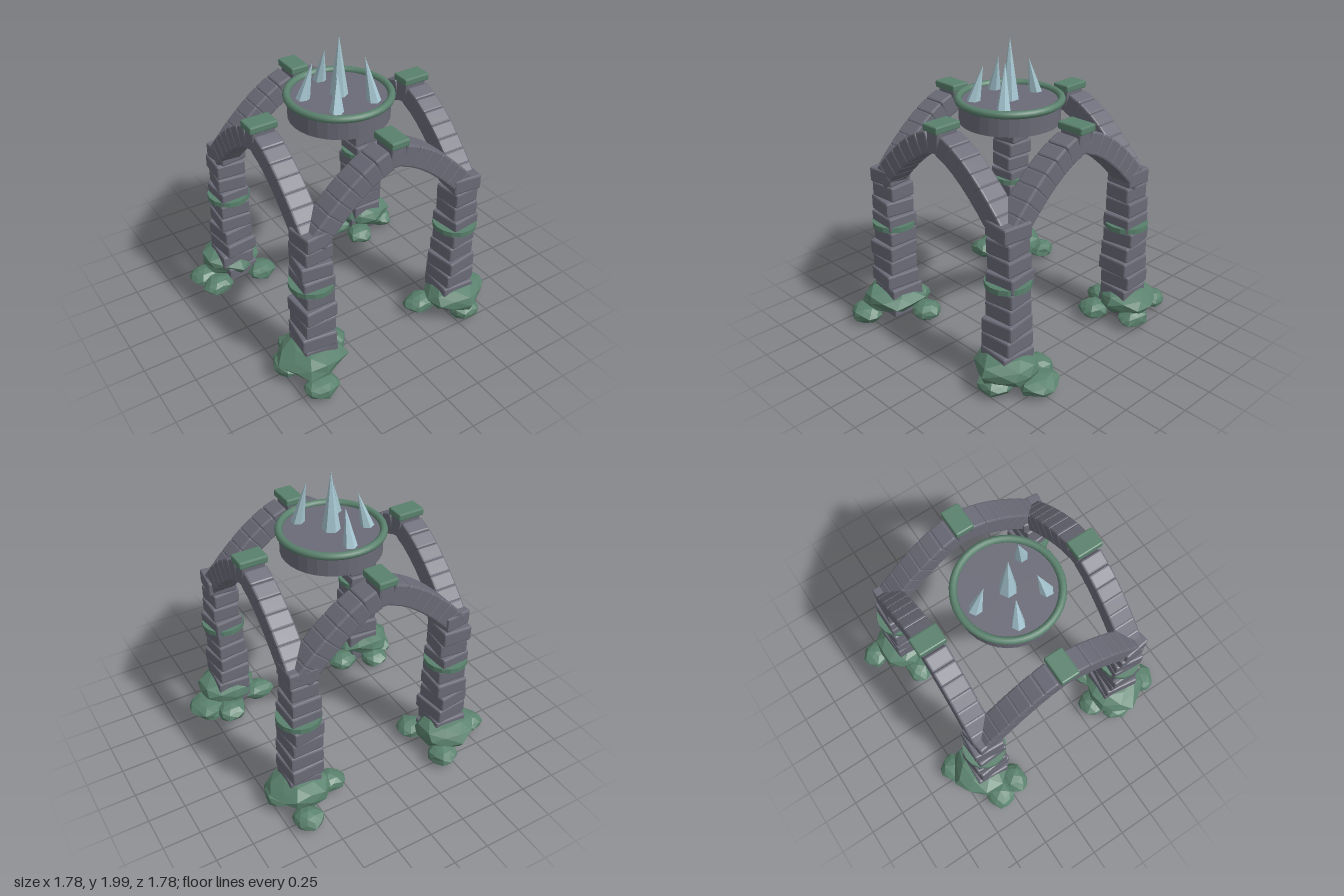
import * as THREE from 'three';
import { RoundedBoxGeometry } from 'three/addons/geometries/RoundedBoxGeometry.js';

const mat = (name, color) => {
  const m = new THREE.MeshStandardMaterial({ color });
  m.name = name;
  return m;
};

// Small seeded random in -1..1
function seeded(seed) {
  let s = seed;
  return () => {
    s = (s * 16807) % 2147483647;
    return (s / 2147483647) * 2 - 1;
  };
}

// Faceted normals
function flat(geometry) {
  const g = geometry.index ? geometry.toNonIndexed() : geometry;
  g.computeVertexNormals();
  return g;
}

const block = (w, h, d, bevel = 0.012) => flat(new RoundedBoxGeometry(w, h, d, 1, bevel));

// Lumpy boulder: sphere corners pushed in and out by a rule of their direction
function boulder(rx, ry, rz, seed) {
  const g = new THREE.IcosahedronGeometry(1, 1);
  const p = g.attributes.position;
  const v = new THREE.Vector3();
  for (let i = 0; i < p.count; i++) {
    v.fromBufferAttribute(p, i);
    const k = 1 + 0.11 * Math.sin(v.x * 5.1 + seed * 1.7) * Math.cos(v.z * 4.3 + seed * 2.9)
      + 0.06 * Math.sin(v.y * 6 + v.x * 3 + seed);
    p.setXYZ(i, v.x * k * rx, v.y * ry * (0.6 + 0.4 * k), v.z * k * rz);
  }
  return flat(g);
}

export function createModel() {
  const model = new THREE.Group();
  const stone = mat('grey stone', 0x6b6b78);
  const moss = mat('moss green', 0x5a816d);
  const crystal = mat('pale blue crystal', 0xa8c8d3);
  const add = (parent, name, geometry, material, x = 0, y = 0, z = 0) => {
    const mesh = new THREE.Mesh(geometry, material);
    mesh.name = name;
    mesh.position.set(x, y, z);
    parent.add(mesh);
    return mesh;
  };

  // Four pointed arches, one on each side of the square
  const curve = new THREE.QuadraticBezierCurve(
    new THREE.Vector2(-0.53, 1.09), new THREE.Vector2(-0.22, 1.44), new THREE.Vector2(0, 1.472));
  const archStone = block(0.104, 0.145, 0.16);
  const capGeo = block(0.13, 0.05, 0.192, 0.01);
  for (let side = 0; side < 4; side++) {
    const arch = new THREE.Group();
    arch.name = 'arch';
    arch.rotation.y = side * Math.PI / 2;
    model.add(arch);
    for (let i = 0; i < 7; i++) {
      const p = curve.getPointAt(i / 7);
      const t = curve.getTangentAt(i / 7);
      const angle = Math.atan2(t.y, t.x);
      for (const s of [1, -1]) {
        add(arch, 'archStone', archStone, stone, p.x * s, p.y, 0.565).rotation.z = angle * s;
      }
    }
    add(arch, 'keystone', archStone, stone, 0, 1.475, 0.565);
    add(arch, 'keystoneCap', capGeo, moss, 0, 1.565, 0.568);
  }

  // Pillars of uneven stacked blocks with a band
  const rand = seeded(4711);
  for (const sx of [-1, 1]) {
    for (const sz of [-1, 1]) {
      const pillar = new THREE.Group();
      pillar.name = 'pillar';
      pillar.position.set(sx * 0.555, 0, sz * 0.555);
      model.add(pillar);
      const count = 10;
      for (let i = 0; i < count; i++) {
        const w = 0.238 - 0.005 * i + rand() * 0.012;
        const b = add(pillar, 'pillarStone', block(w, 0.104, w * (1 + rand() * 0.05)), stone,
          rand() * 0.009, 0.11 + i * 0.108, rand() * 0.009);
        b.rotation.y = rand() * 0.16;
      }
      add(pillar, 'pillarBand', flat(new THREE.CylinderGeometry(0.146, 0.146, 0.036, 16)), moss, 0, 0.725, 0);
    }
  }

  // Mossy boulders round each foot: x, z, radius x, radius z; the first is the large one
  const feet = [
    [[-0.56, -0.61, 0.22, 0.2], [-0.44, -0.76, 0.1, 0.1], [-0.78, -0.58, 0.11, 0.1],
      [-0.74, -0.44, 0.11, 0.09], [-0.4, -0.43, 0.1, 0.1]],
    [[0.58, -0.58, 0.2, 0.2], [0.63, -0.79, 0.1, 0.1], [0.7, -0.5, 0.09, 0.12],
      [0.44, -0.39, 0.1, 0.1], [0.36, -0.58, 0.11, 0.09]],
    [[-0.58, 0.57, 0.21, 0.22], [-0.63, 0.78, 0.12, 0.1], [-0.37, 0.46, 0.11, 0.1],
      [-0.6, 0.37, 0.1, 0.1], [-0.72, 0.5, 0.09, 0.11]],
    [[0.57, 0.58, 0.21, 0.2], [0.76, 0.49, 0.12, 0.14], [0.36, 0.49, 0.12, 0.09],
      [0.58, 0.7, 0.11, 0.1], [0.62, 0.37, 0.11, 0.1]],
  ];
  feet.forEach((lumps, f) => {
    const foot = new THREE.Group();
    foot.name = 'mossyFoot';
    model.add(foot);
    lumps.forEach(([x, z, rx, rz], i) => {
      const big = i === 0;
      add(foot, big ? 'largeBoulder' : 'smallBoulder', boulder(rx, big ? 0.1 : 0.063, rz, f * 5 + i + 1),
        moss, x, big ? 0.155 : 0.073, z);
    });
  });

  // Hanging round platform with a rim
  add(model, 'platform', flat(new THREE.CylinderGeometry(0.328, 0.328, 0.14, 32)), stone, 0, 1.53, 0);
  const rim = add(model, 'platformRim', new THREE.TorusGeometry(0.33, 0.025, 10, 40), moss, 0, 1.605, 0);
  rim.rotation.x = Math.PI / 2;

  // Crystals: a tall one in the middle and four leaning inwards
  const spike = (base, tip, radius) => {
    const dir = tip.clone().sub(base);
    const mid = base.clone().add(tip).multiplyScalar(0.5);
    const m = add(model, 'crystal', flat(new THREE.ConeGeometry(radius, dir.length(), 6)), crystal, mid.x, mid.y, mid.z);
    m.quaternion.setFromUnitVectors(new THREE.Vector3(0, 1, 0), dir.normalize());
  };
  spike(new THREE.Vector3(0, 1.58, 0), new THREE.Vector3(0, 2, 0), 0.062);
  [[0, 1.835], [1, 1.835], [2, 1.825], [3, 1.885]].forEach(([i, top]) => {
    const a = i * Math.PI * 0.4;
    const x = -Math.sin(a), z = -Math.cos(a);
    spike(new THREE.Vector3(x * 0.235, 1.58, z * 0.235), new THREE.Vector3(x * 0.168, top, z * 0.168), 0.048);
  });

  return model;
}
